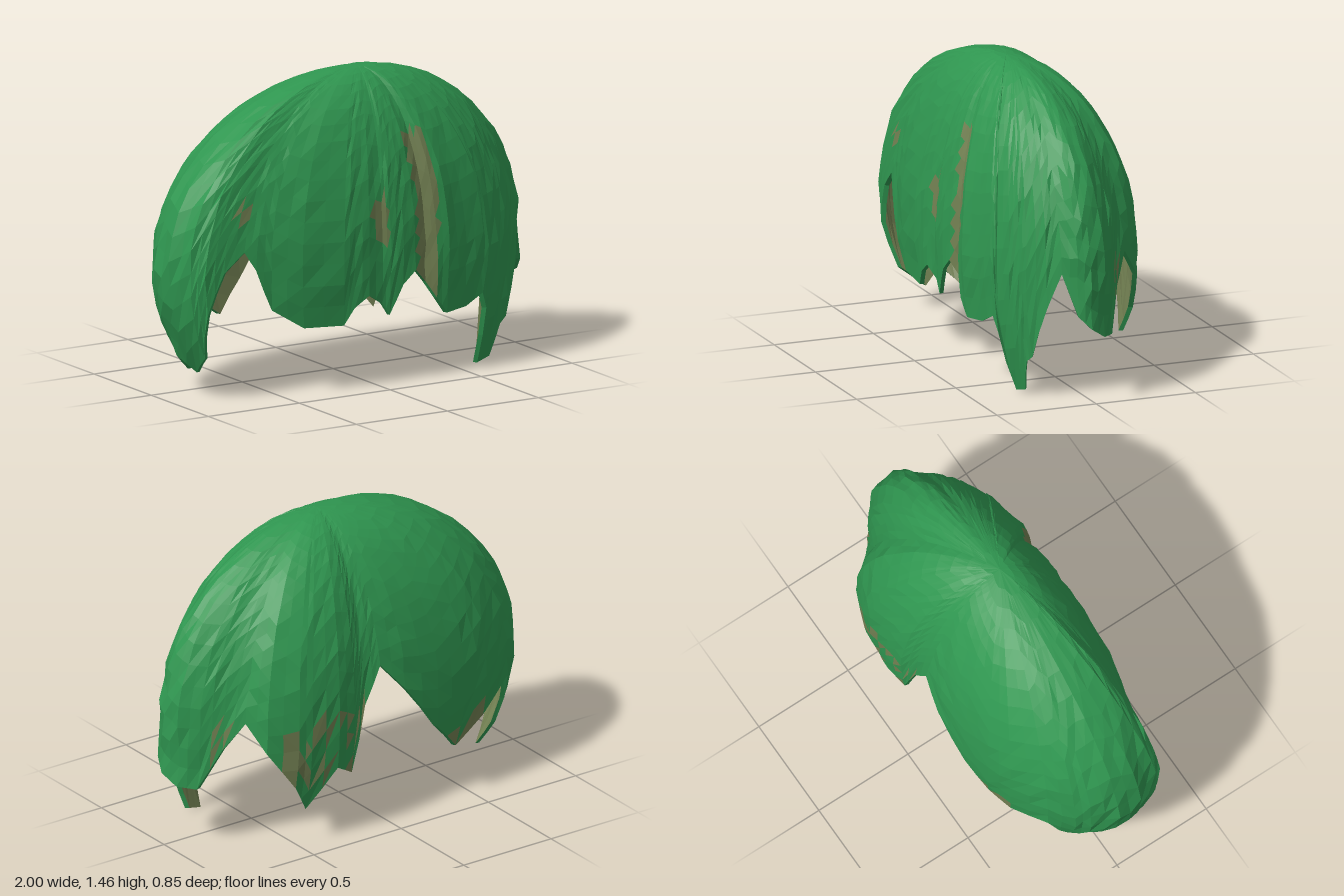
import * as THREE from 'three';

// Ring around the shell: x, z at the widest level, and height of the ragged hem there
const RING = [
  1, .02, .36, .98, .08, .42, .92, .14, .62, .88, .2, .45, .8, .27, .2, .76, .29, .17,
  .71, .32, .02, .635, .35, 0, .63, .365, .28, .6, .37, .36, .5, .39, .31, .38, .42, .3,
  .32, .415, .38, .27, .385, .46, .2, .41, .53, .13, .415, .47, .06, .42, .33, .02, .41, .39,
  -.06, .42, .44, -.14, .42, .39, -.2, .42, .31, -.42, .4, .32, -.57, .36, .42, -.64, .345, .62,
  -.7, .33, .71, -.8, .32, .62, -.9, .31, .42, -.96, .26, .2, -1, .14, .11, -1, .02, .18,
  -.94, -.1, .08, -.9, -.16, .2, -.8, -.25, .48, -.62, -.34, .36, -.47, -.37, .25, -.3, -.39, .4,
  -.1, -.4, .65, .03, -.39, .8, .12, -.38, .62, .2, -.41, .3, .3, -.43, .36, .45, -.42, .17,
  .52, -.41, .3, .66, -.35, .5, .72, -.26, .64, .8, -.19, .5, .9, -.13, .3, .97, -.06, .31,
];
const ROWS = 16, SUB = 2, MID = .6, HEIGHT = .86;

function seeded(seed) {
  return () => {
    seed = (seed * 16807) % 2147483647;
    return seed / 2147483647;
  };
}

// Subdivide the ring into columns
function ringColumns() {
  const n = RING.length / 3, columns = [];
  for (let i = 0; i < n; i++) {
    for (let s = 0; s < SUB; s++) {
      const mix = k => THREE.MathUtils.lerp(RING[i * 3 + k], RING[((i + 1) % n) * 3 + k], s / SUB);
      columns.push({ x: mix(0), z: mix(1), hem: mix(2) });
    }
  }
  return columns;
}

// Each column runs from the crown down an ellipse to its hem
function shellGrid(columns) {
  const random = seeded(77);
  return columns.map(({ x, z, hem }) => {
    const end = Math.acos((hem - MID) / HEIGHT), line = [];
    for (let j = 0; j <= ROWS; j++) {
      const phi = end * j / ROWS, s = Math.sin(phi);
      const below = phi > Math.PI / 2;
      const shift = below ? 0 : 1 - s;
      const sx = below && x > 0 ? 1 : s;
      const rough = j > 1 && j < ROWS ? .02 : 0;
      const k = 1 - rough * random();
      line.push(new THREE.Vector3(
        x * sx * k + .08 * shift, MID + HEIGHT * Math.cos(phi), z * s * k + .07 * shift));
    }
    return line;
  });
}

// Flat-faced geometry from a list of triangles
function facets(triangles) {
  const geometry = new THREE.BufferGeometry().setFromPoints(triangles.flat());
  geometry.computeVertexNormals();
  return geometry;
}

// Triangles between neighbouring columns, around the closed ring
function skin(grid, flip = false) {
  const out = [], n = grid.length;
  for (let i = 0; i < n; i++) {
    const p = grid[i], q = grid[(i + 1) % n];
    for (let j = 0; j < p.length - 1; j++) {
      const pair = [[p[j], q[j + 1], p[j + 1]]];
      if (p[j].distanceTo(q[j]) > 1e-6) pair.push([p[j], q[j], q[j + 1]]);
      out.push(...pair.map(t => flip ? t.reverse() : t));
    }
  }
  return out;
}

// Bare strips on the front and ragged facets along the back hem
function isBare(triangle, random) {
  const c = new THREE.Vector3();
  triangle.forEach(p => c.addScaledVector(p, 1 / 3));
  const r = random();
  if (c.z > .1) {
    const long = Math.abs(c.x - .27 + Math.max(0, c.y - .9) * .15) < .055 && c.y < 1.17;
    const short = Math.abs(c.x - .01) < .04 && c.y > .68 && c.y < .9;
    const spot = Math.abs(c.x + .69) < .035 && c.y > .84 && c.y < .92;
    return long || short || spot;
  }
  const limit = c.x > -.05 ? .62 : .42;
  return c.z < -.15 && c.x > -.72 && c.y < limit && r < .35;
}

export function createModel() {
  const green = new THREE.MeshStandardMaterial({ color: 0x2f9650 });
  green.name = 'leaf green';
  const olive = new THREE.MeshStandardMaterial({ color: 0x728052 });
  olive.name = 'olive';
  for (const m of [green, olive]) m.flatShading = true;

  const group = new THREE.Group();
  const add = (name, triangles, material) => {
    const mesh = new THREE.Mesh(facets(triangles), material);
    mesh.name = name;
    group.add(mesh);
  };

  // Outer shell, split into green cover and bare patches
  const outer = shellGrid(ringColumns());
  const random = seeded(5);
  const cover = [], bare = [];
  for (const t of skin(outer)) (isBare(t, random) ? bare : cover).push(t);
  add('outerShell', cover, green);
  add('barePatches', bare, olive);

  // Lining just inside the shell
  const inner = outer.map(line => line.map(p =>
    new THREE.Vector3(p.x * .975, p.y - .02 * Math.max(0, p.y - MID), p.z * .95)));
  add('lining', skin(inner, true), olive);

  // Rim joining shell and lining at the hem
  add('hemRim', skin(outer.map((line, i) => [line[ROWS], inner[i][ROWS]])), green);

  return group;
}
